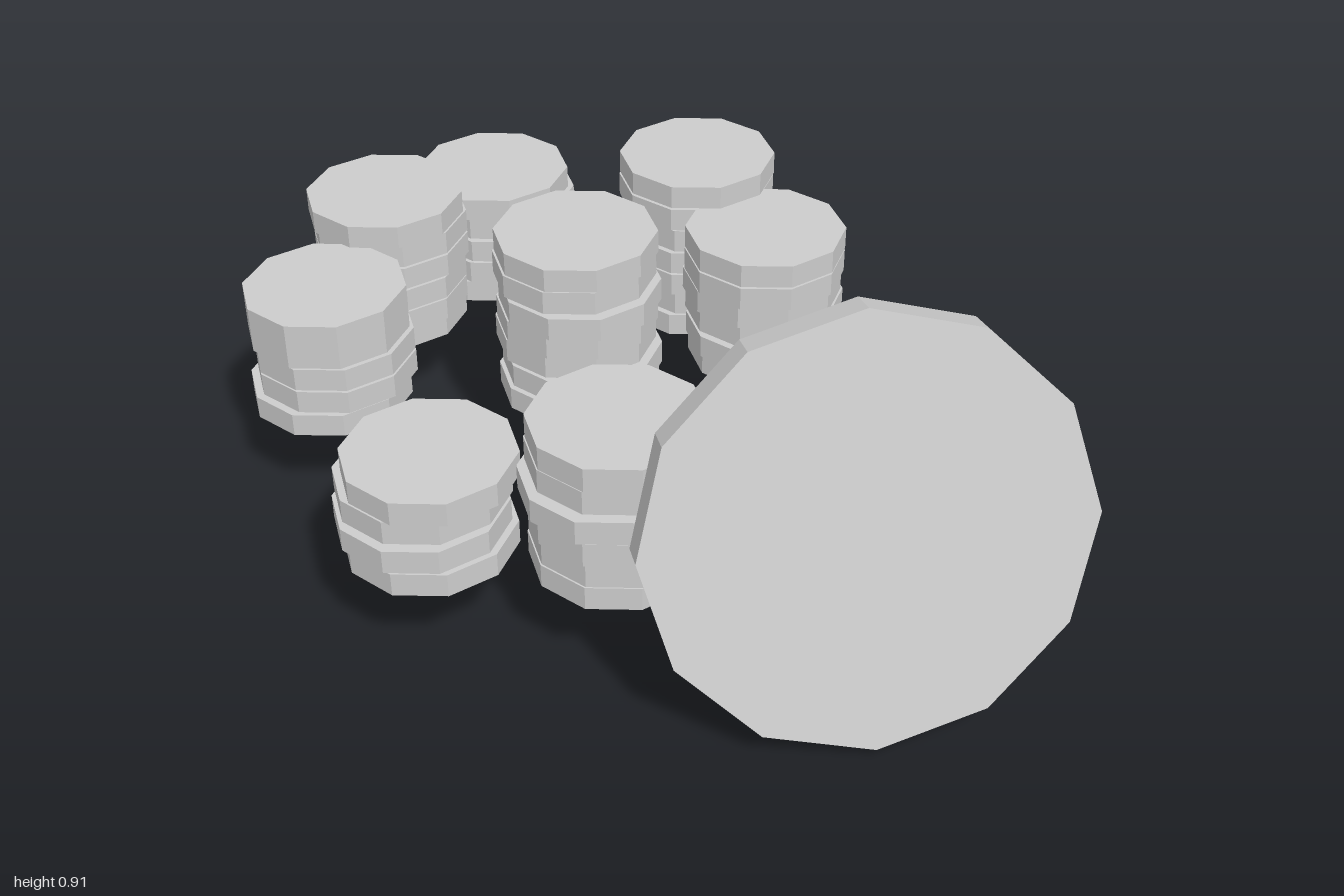
import * as THREE from 'three';

// Small seeded generator for the uneven stacking
function seeded(seed) {
  let s = seed;
  return () => {
    s = (s * 16807) % 2147483647;
    return s / 2147483647;
  };
}

const COIN_RADIUS = 0.187;
const COIN_HEIGHT = 0.0555;
const PITCH = 0.0586;
const STACK_BASE = 0.23;

// Each stack: centre x, z, number of coins, then the top coin's x, z
const STACKS = [
  [-0.648, -0.54, 5, -0.655, -0.535],
  [-0.811, -0.245, 6, -0.806, -0.238],
  [-0.787, 0.107, 5, -0.789, 0.108],
  [-0.122, -0.562, 7, -0.125, -0.567],
  [0.105, -0.382, 6, 0.108, -0.376],
  [-0.265, -0.12, 7, -0.265, -0.124],
  [-0.347, 0.528, 4, -0.334, 0.525],
  [0.038, 0.445, 6, 0.046, 0.436],
];

export function createModel() {
  const model = new THREE.Group();
  model.name = 'coinPile';

  const metal = new THREE.MeshStandardMaterial({ color: 0xcccccc, flatShading: true });
  metal.name = 'pale grey';

  // Stacks of ten-sided coins, each slightly out of line with the next
  const coinGeometry = new THREE.CylinderGeometry(COIN_RADIUS, COIN_RADIUS, COIN_HEIGHT, 10);
  const random = seeded(4711);
  const jitter = () => (random() - 0.5) * 0.024;
  STACKS.forEach(([x, z, count, topX, topZ], s) => {
    const stack = new THREE.Group();
    stack.name = `coinStack${s + 1}`;
    for (let i = 0; i < count; i++) {
      const coin = new THREE.Mesh(coinGeometry, metal);
      coin.name = `coin${i + 1}`;
      const isTop = i === count - 1;
      coin.position.set(
        isTop ? topX : x + jitter(),
        STACK_BASE + COIN_HEIGHT / 2 + i * PITCH,
        isTop ? topZ : z + jitter()
      );
      stack.add(coin);
    }
    model.add(stack);
  });

  // Large twelve-sided coin leaning on its edge
  const largeCoin = new THREE.Mesh(new THREE.CylinderGeometry(0.46, 0.46, 0.078, 12), metal);
  largeCoin.name = 'largeCoin';
  const axis = new THREE.Vector3(0.468, 0.276, 0.839).normalize();
  const side = new THREE.Vector3().crossVectors(axis, new THREE.Vector3(-0.063, 0.442, -0.11)).normalize();
  const up = new THREE.Vector3().crossVectors(side, axis);
  largeCoin.quaternion.setFromRotationMatrix(new THREE.Matrix4().makeBasis(side, axis, up));
  largeCoin.position.set(0.575, 0.457, 0.472);
  model.add(largeCoin);

  return model;
}
